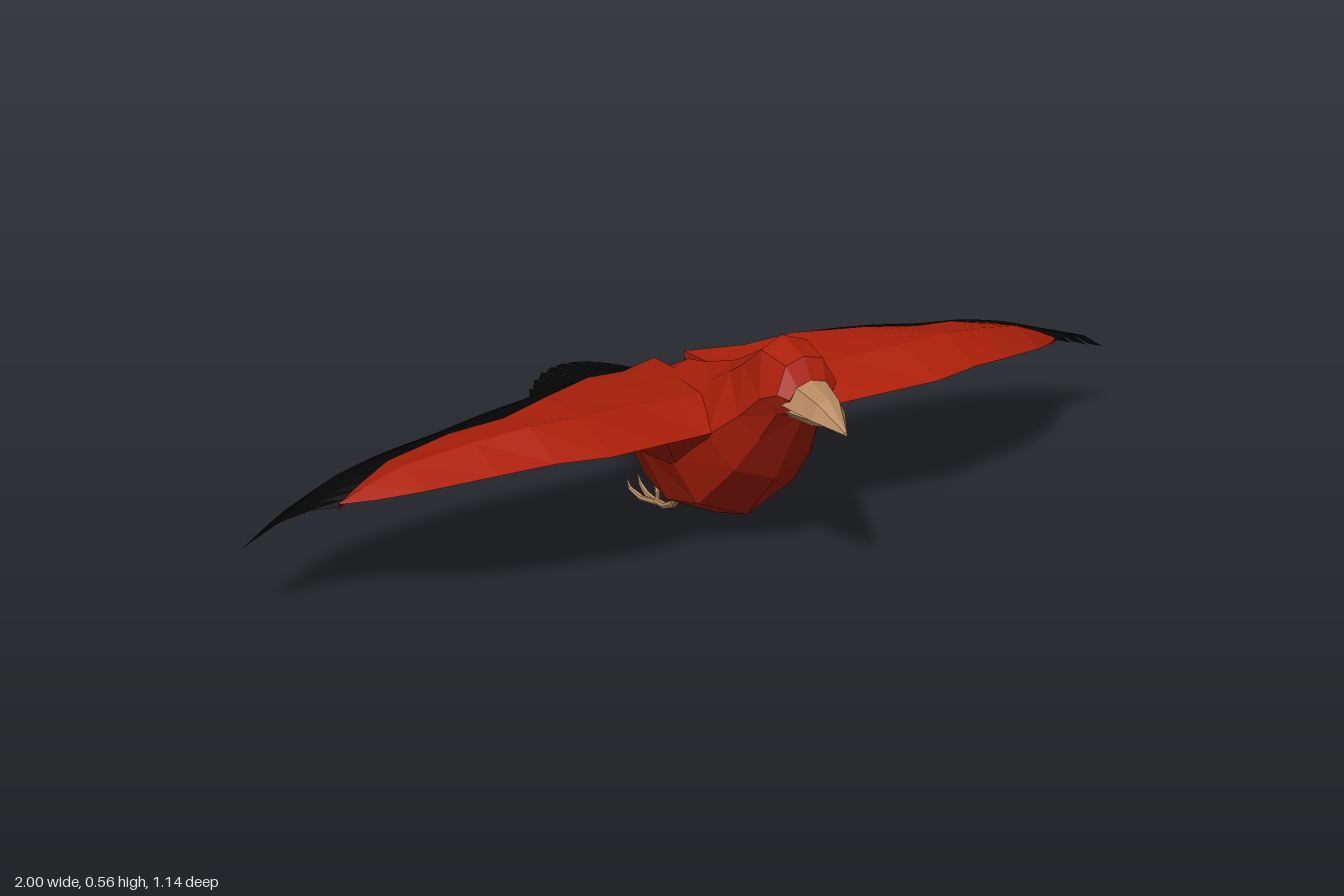
import * as THREE from 'three';

const red = new THREE.MeshStandardMaterial({ color: 0xaa1f09 });
red.name = 'red plumage';
const black = new THREE.MeshStandardMaterial({ color: 0x040404, side: THREE.DoubleSide });
black.name = 'black feathers';
const tan = new THREE.MeshStandardMaterial({ color: 0xb5895f });
tan.name = 'tan horn';

// Flat-shaded geometry from a list of triangle corners
function facets(corners) {
  const geo = new THREE.BufferGeometry().setFromPoints(corners);
  geo.computeVertexNormals();
  return geo;
}

// Closed skin over a row of rings, with both ends capped
function loft(rings) {
  const out = [];
  const n = rings[0].length;
  for (let i = 0; i < rings.length - 1; i++) {
    for (let j = 0; j < n; j++) {
      const k = (j + 1) % n;
      const a = rings[i][j], b = rings[i][k], c = rings[i + 1][k], d = rings[i + 1][j];
      out.push(a, b, c, a, c, d);
    }
  }
  const first = rings[0], last = rings[rings.length - 1];
  for (let j = 1; j < n - 1; j++) {
    out.push(first[0], first[j + 1], first[j], last[0], last[j], last[j + 1]);
  }
  return facets(out);
}

// Eight-sided section: top z, top y, bottom z, bottom y, half width, widest y,
// upper shoulder width as a share of the half width, sideways offset
function ring([zt, yt, zb, yb, w, yw, upper = 0.62, x = 0]) {
  const at = (px, y) => new THREE.Vector3(
    x + px * w, y, THREE.MathUtils.lerp(zb, zt, (y - yb) / (yt - yb)));
  const hi = yw + 0.82 * (yt - yw), lo = yw - 0.7 * (yw - yb);
  return [at(1, yw), at(upper, hi), at(0, yt), at(-upper, hi),
    at(-1, yw), at(-0.66, lo), at(0, yb), at(0.66, lo)];
}

// Row of blades over a sheet point(u, v); gap(u) opens slits near the tips
function feathers(point, n, gap) {
  const out = [];
  const rows = [0, 0.3, 0.6, 1];
  for (let i = 0; i < n; i++) {
    const edge = (v) => {
      const open = v === 1 ? gap(i / n) : 0;
      return [point((i + open) / n, v === 1 ? 0.965 : v), point((i + 1) / n, v)];
    };
    for (let r = 0; r < rows.length - 1; r++) {
      const [a, b] = edge(rows[r]), [d, c] = edge(rows[r + 1]);
      out.push(a, b, c, a, c, d);
    }
  }
  return facets(out);
}

function add(parent, name, geometry, material) {
  const mesh = new THREE.Mesh(geometry, material);
  mesh.name = name;
  parent.add(mesh);
}

// Wing stations: x, leading z y, crest z y, rear z y, underside y
const wingStations = [
  [0.04, 0.27, 0.34, 0.15, 0.37, -0.15, 0.345, 0.18],
  [0.16, 0.29, 0.34, 0.16, 0.378, -0.08, 0.36, 0.215],
  [0.27, 0.31, 0.35, 0.17, 0.39, -0.045, 0.38, 0.285],
  [0.42, 0.336, 0.362, 0.2, 0.405, 0.03, 0.39, 0.338],
  [0.54, 0.308, 0.362, 0.19, 0.405, 0.07, 0.382, 0.347],
  [0.66, 0.277, 0.35, 0.16, 0.383, 0.04, 0.36, 0.337],
  [0.8, 0.205, 0.318, 0.11, 0.344, 0.025, 0.322, 0.308],
  [0.88, 0.137, 0.29, 0.09, 0.307, 0.05, 0.294, 0.284],
  [0.94, 0.08, 0.272, 0.077, 0.275, 0.074, 0.27, 0.268],
];
// Feather tips, one per station: x, y, z
const wingTips = [
  [0.08, 0.235, -0.215], [0.2, 0.24, -0.17], [0.36, 0.265, -0.15],
  [0.55, 0.262, -0.155], [0.72, 0.238, -0.157], [0.86, 0.22, -0.137],
  [0.98, 0.205, -0.1], [1.07, 0.195, -0.042], [1.14, 0.188, 0.01],
];

function makeWing(side) {
  const wing = new THREE.Group();
  wing.name = side > 0 ? 'leftWing' : 'rightWing';
  const rings = wingStations.map(([x, lz, ly, cz, cy, rz, ry, uy]) => {
    const p = (y, z) => new THREE.Vector3(side * x, y, z);
    const loop = [p(cy, cz), p(ly, lz), p(uy, cz), p(ry - 0.015, rz), p(ry, rz)];
    return side > 0 ? loop : loop.reverse();
  });
  add(wing, 'wingArm', loft(rings), red);

  const roots = new THREE.CatmullRomCurve3(
    wingStations.map((s) => new THREE.Vector3(s[0], s[6] - 0.006, s[5] + 0.004)));
  const tips = new THREE.CatmullRomCurve3(wingTips.map((t) => new THREE.Vector3(...t)));
  const sheet = (u, v) => {
    const p = roots.getPoint(u).lerp(tips.getPoint(u), v);
    p.y += 0.1 * v * (1 - v);
    p.x *= side;
    return p;
  };
  add(wing, 'flightFeathers', feathers(sheet, 18, (u) => 0.02 + 0.2 * u * u), black);
  return wing;
}

// Tapered rod along z from points [x, y, z, radius], rearmost first
function rod(points) {
  return loft(points.map(([x, y, z, r]) => ring([z, y + r, z, y - r, r, y, 0.62, x])));
}

function makeFoot(side) {
  const foot = new THREE.Group();
  foot.name = side > 0 ? 'leftFoot' : 'rightFoot';
  const x = side * 0.07;
  add(foot, 'shank', rod([
    [x, 0.009, -0.1, 0.008], [x, 0.014, -0.05, 0.009],
    [x, 0.035, -0.01, 0.011], [x, 0.07, 0.02, 0.012]]), tan);
  for (const spread of [-1, 0, 1]) {
    const back = spread ? 0.012 : 0;
    add(foot, 'toe', rod([
      [x + spread * 0.036, 0.048, -0.178 + back, 0.001],
      [x + spread * 0.034, 0.026, -0.165 + back, 0.005],
      [x + spread * 0.022, 0.011, -0.135 + back, 0.007],
      [x, 0.008, -0.085, 0.007]]), tan);
  }
  return foot;
}

export function createModel() {
  const bird = new THREE.Group();
  bird.name = 'flyingBird';

  // Body and head in one skin, from rump to face
  add(bird, 'body', loft([
    [-0.176, 0.22, -0.175, 0.125, 0.065, 0.18],
    [-0.135, 0.325, -0.15, 0.075, 0.115, 0.19, 0.5],
    [-0.06, 0.365, -0.09, 0.04, 0.16, 0.21, 0.45],
    [0.02, 0.385, 0.06, 0.025, 0.19, 0.225, 0.42],
    [0.15, 0.435, 0.2, 0.075, 0.188, 0.25, 0.38],
    [0.22, 0.475, 0.32, 0.21, 0.15, 0.33, 0.42],
    [0.27, 0.505, 0.385, 0.32, 0.112, 0.39, 0.55],
    [0.34, 0.56, 0.43, 0.4, 0.094, 0.45],
    [0.43, 0.54, 0.455, 0.41, 0.076, 0.47],
    [0.462, 0.49, 0.46, 0.415, 0.055, 0.46],
  ].map(ring)), red);

  // Beak
  add(bird, 'upperBeak', loft([
    [0.44, 0.5, 0.44, 0.432, 0.066, 0.445],
    [0.53, 0.476, 0.53, 0.428, 0.043, 0.435],
    [0.6, 0.425, 0.6, 0.416, 0.004, 0.42],
  ].map(ring)), tan);
  add(bird, 'lowerBeak', loft([
    [0.44, 0.44, 0.44, 0.4, 0.058, 0.43],
    [0.5, 0.436, 0.5, 0.402, 0.038, 0.428],
    [0.55, 0.43, 0.55, 0.417, 0.014, 0.425],
  ].map(ring)), tan);

  // Fanned, arched tail
  const tailSheet = (u, v) => {
    const t = 2 * u - 1;
    return new THREE.Vector3(
      THREE.MathUtils.lerp(0.06, 0.175, v) * t - 0.015 * v,
      0.21 - 0.06 * v * v * v - t * t * (0.01 * v + 0.1 * v * (1 - v)),
      -0.15 - v * (0.36 + 0.14 * (1 - t * t)));
  };
  add(bird, 'tailFeathers', feathers(tailSheet, 10, () => 0), black);

  for (const side of [1, -1]) bird.add(makeWing(side), makeFoot(side));

  // The bird flies turned towards its left
  bird.rotation.y = THREE.MathUtils.degToRad(28.8);
  const model = new THREE.Group();
  model.name = 'bird';
  model.add(bird);
  return model;
}
